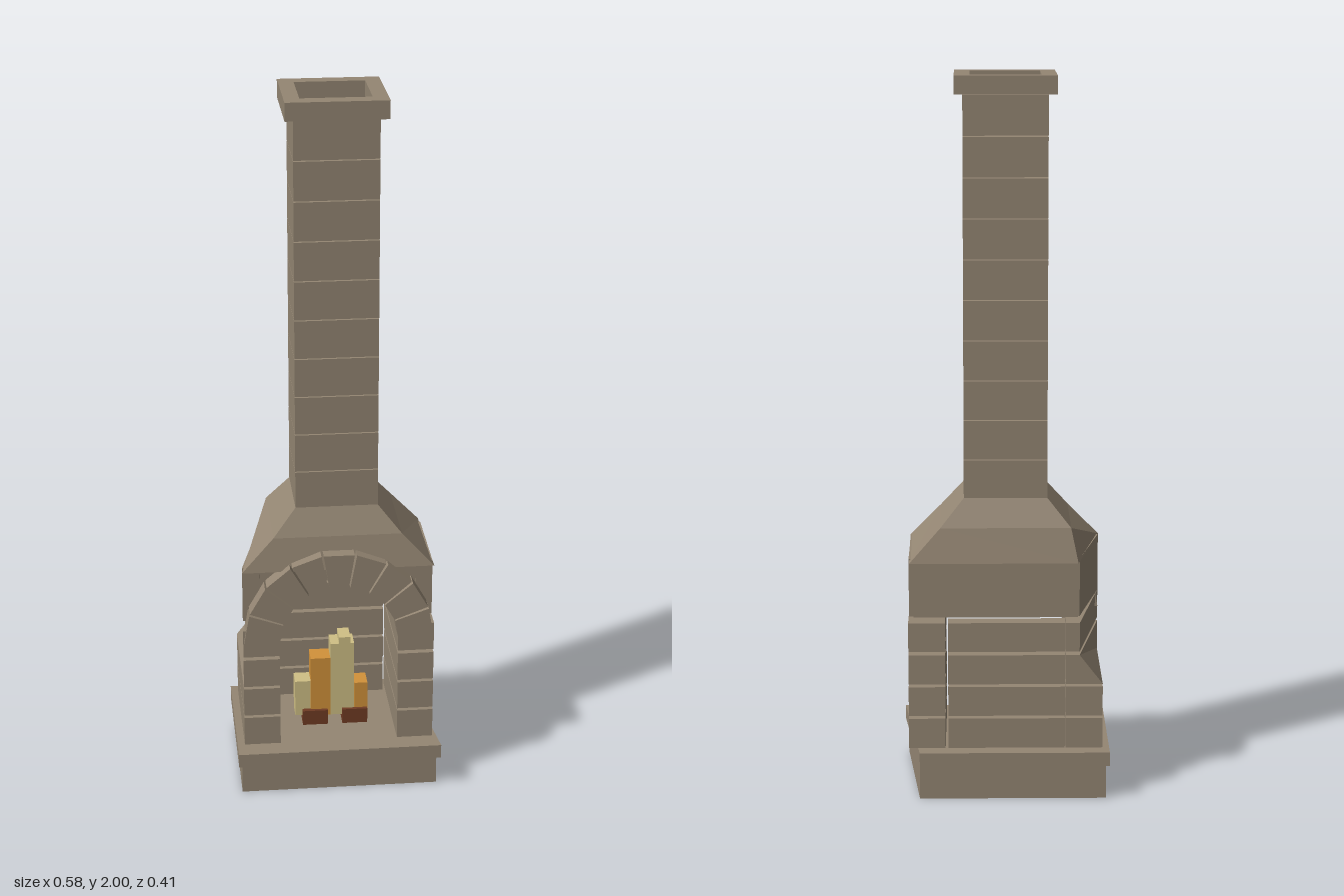
import * as THREE from 'three';

const mat = (name, color) => {
  const m = new THREE.MeshStandardMaterial({ color });
  m.name = name;
  return m;
};

// Four-cornered rings stacked into a faceted solid; corners run back-left, back-right, front-right, front-left.
function loft(rings, capped = true) {
  const pos = [];
  const put = (...ps) => ps.forEach((p) => pos.push(...p));
  const pts = rings.map(([y, c]) => c.map(([x, z]) => [x, y, z]));
  for (let r = 0; r + 1 < pts.length; r++) {
    for (let i = 0; i < 4; i++) {
      const j = (i + 1) % 4;
      const a = pts[r][i], b = pts[r][j], c = pts[r + 1][j], d = pts[r + 1][i];
      put(a, d, c, a, c, b);
    }
  }
  if (capped) {
    const [p, q] = [pts[0], pts[pts.length - 1]];
    put(p[0], p[1], p[2], p[0], p[2], p[3]);
    put(q[0], q[2], q[1], q[0], q[3], q[2]);
  }
  const g = new THREE.BufferGeometry();
  g.setAttribute('position', new THREE.Float32BufferAttribute(pos, 3));
  g.computeVertexNormals();
  return g;
}

const rect = (x0, x1, z0, z1) => [[x0, z0], [x1, z0], [x1, z1], [x0, z1]];

const block = (x0, x1, y0, y1, z0, z1) =>
  new THREE.BoxGeometry(x1 - x0, y1 - y0, z1 - z0)
    .translate((x0 + x1) / 2, (y0 + y1) / 2, (z0 + z1) / 2);

// Square tube with an opening down the middle
function tube(outer, inner, y0, y1) {
  const v = (c) => c.map(([x, z]) => new THREE.Vector2(x, -z));
  const s = new THREE.Shape(v(outer));
  s.holes.push(new THREE.Path(v(inner)));
  return new THREE.ExtrudeGeometry(s, { depth: y1 - y0, bevelEnabled: false })
    .rotateX(-Math.PI / 2).translate(0, y0, 0);
}

export function createModel() {
  const model = new THREE.Group();
  model.name = 'outdoorFireplace';
  const stone = mat('stone', 0x948673);
  const hoodStone = stone;
  hoodStone.side = THREE.DoubleSide;
  const wood = mat('wood', 0x703c24);
  const orange = mat('orangeFlame', 0xd2923a);
  const pale = mat('paleFlame', 0xd0c085);

  const add = (name, geo, material = stone, parent = model) => {
    const m = new THREE.Mesh(geo, material);
    m.name = name;
    parent.add(m);
    return m;
  };
  const group = (name) => {
    const g = new THREE.Group();
    g.name = name;
    model.add(g);
    return g;
  };

  // Plinth and hearth slab, both skewed along the left edge
  const plinth = [[-0.28, -0.2], [0.24, -0.2], [0.28, 0.18], [-0.28, 0.18]];
  const slab = [[-0.29, -0.205], [0.24, -0.205], [0.29, 0.205], [-0.29, 0.205]];
  add('plinth', loft([[0, plinth], [0.095, plinth]]));
  add('hearthSlab', loft([[0.095, slab], [0.135, slab]]));

  // Firebox courses: two piers and a back panel each; one rear corner steps inward as it rises
  const courses = group('fireboxCourses');
  const levels = [
    [0.14, 0.226, -0.27, -0.27],
    [0.234, 0.318, -0.27, -0.27],
    [0.326, 0.41, -0.27, -0.205],
    [0.42, 0.503, -0.205, -0.205],
  ];
  for (const [y0, y1, low, high] of levels) {
    const pier = (x) => [[x, -0.175], [-0.167, -0.175], [-0.167, 0.155], [-0.27, 0.155]];
    add('rightPier', loft([[y0, pier(low)], [y1, pier(high)]]), stone, courses);
    add('leftPier', block(0.168, 0.27, y0, y1, -0.175, 0.155), stone, courses);
    add('backPanel', block(-0.165, 0.16, y0, y1, -0.175, -0.13), stone, courses);
  }

  // Upper chamber between the courses and the hood
  const chamber = group('upperChamber');
  const slant = [[-0.205, -0.15], [-0.165, -0.15], [-0.22, 0.116], [-0.268, 0.116]];
  add('rightWall', loft([[0.515, slant], [0.68, slant]]), stone, chamber);
  add('leftWall', block(0.22, 0.268, 0.515, 0.68, -0.147, 0.116), stone, chamber);
  add('backWall', block(-0.2, 0.255, 0.515, 0.68, -0.16, -0.12), stone, chamber);

  // Front wall around the arch
  const wall = new THREE.Shape();
  wall.moveTo(0.26, 0.515);
  wall.lineTo(0.26, 0.68);
  wall.lineTo(-0.26, 0.68);
  wall.lineTo(-0.26, 0.515);
  const spring = Math.asin(0.05 / 0.2);
  wall.absarc(0, 0.465, 0.2, Math.PI - spring, spring, true);
  add('frontWall', new THREE.ExtrudeGeometry(wall, { depth: 0.025, bevelEnabled: false, curveSegments: 18 })
    .translate(0, 0, 0.09), stone, chamber);

  // Nine wedge stones of the arch
  const arch = group('arch');
  const step = Math.PI / 9;
  for (let i = 0; i < 9; i++) {
    const a = i * step + 0.012, b = (i + 1) * step - 0.012;
    const at = (r, t) => new THREE.Vector2(r * Math.cos(t), 0.465 + r * Math.sin(t));
    const wedge = new THREE.Shape([at(0.167, a), at(0.268, a), at(0.268, b), at(0.167, b)]);
    add('archStone', new THREE.ExtrudeGeometry(wedge, { depth: 0.06, bevelEnabled: false })
      .translate(0, 0, 0.106), stone, arch);
  }

  // Tapering hood, open below and above
  add('hood', loft([
    [0.675, [[-0.2, -0.182], [0.266, -0.182], [0.27, 0.14], [-0.27, 0.14]]],
    [0.77, [[-0.18, -0.16], [0.18, -0.16], [0.18, 0.122], [-0.18, 0.122]]],
    [0.847, rect(-0.115, 0.115, -0.125, 0.09)],
  ], false), hoodStone);

  // Chimney courses with fine joints, and the cap
  const chimney = group('chimney');
  const rise = 0.1105;
  for (let i = 0; i < 10; i++) {
    const y = 0.845 + i * rise;
    add('chimneyCourse', tube(rect(-0.115, 0.115, -0.125, 0.09), rect(-0.075, 0.075, -0.09, 0.045),
      y, y + rise - 0.003), stone, chimney);
  }
  add('chimneyCap', tube(rect(-0.138, 0.138, -0.15, 0.11), rect(-0.096, 0.096, -0.11, 0.067), 1.95, 2), stone, chimney);

  // Logs and block-shaped flames
  const fire = group('fire');
  for (const s of [-1, 1]) {
    add('log', block(s * 0.0575 - 0.0365, s * 0.0575 + 0.0365, 0.135, 0.18, -0.036, 0.05), wood, fire);
  }
  add('paleFlame', block(-0.115, -0.065, 0.16, 0.27, -0.02, 0.035), pale, fire);
  add('orangeFlame', block(-0.07, -0.013, 0.16, 0.345, -0.02, 0.04), orange, fire);
  add('paleFlame', block(-0.012, 0.056, 0.16, 0.39, -0.02, 0.04), pale, fire);
  add('flameTip', block(0.012, 0.045, 0.39, 0.41, -0.02, 0.04), pale, fire);
  add('orangeFlame', block(0.057, 0.095, 0.16, 0.26, -0.02, 0.04), orange, fire);

  return model;
}
